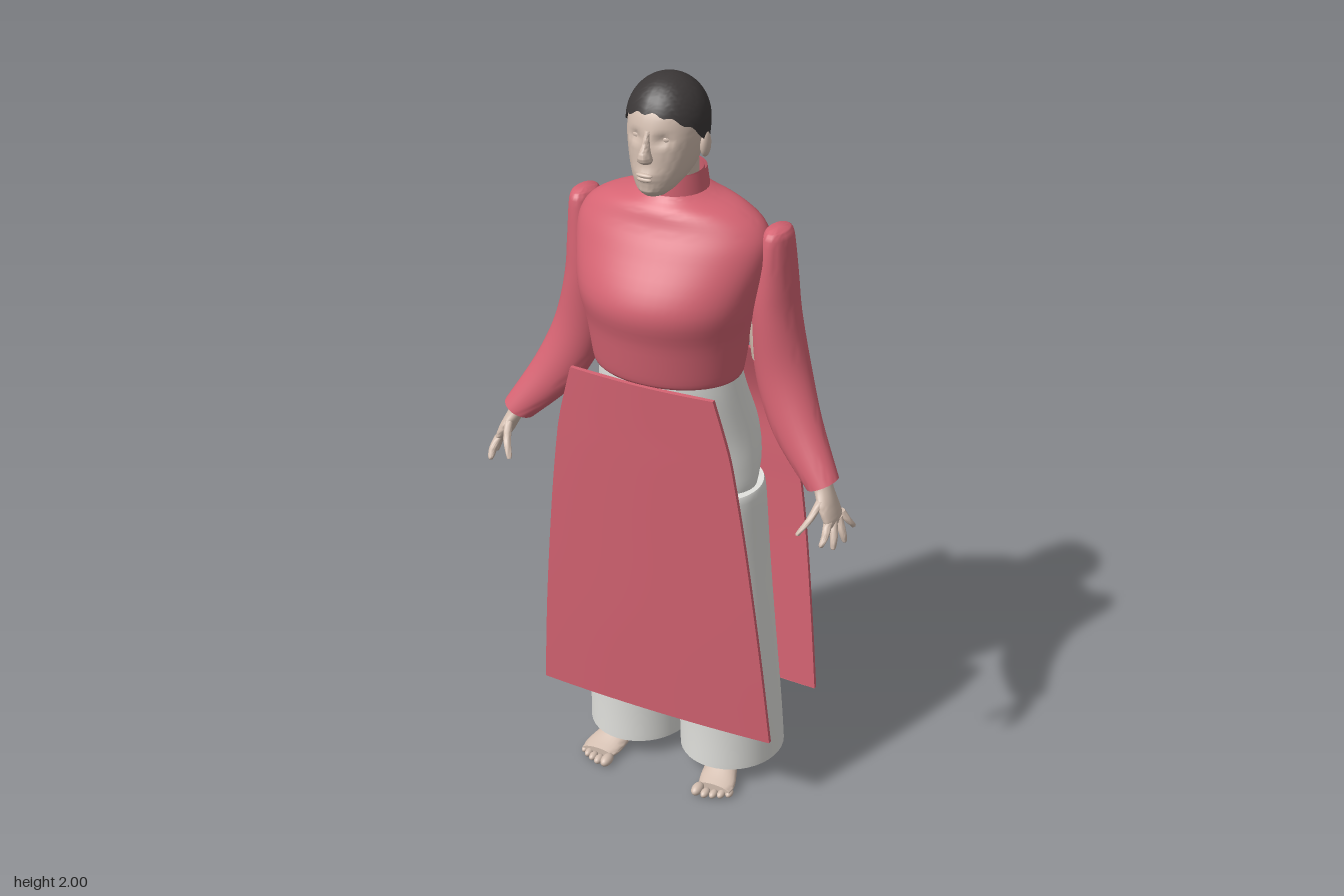
import * as THREE from 'three';
import { toCreasedNormals } from 'three/addons/utils/BufferGeometryUtils.js';

const mat = (name, color, side = THREE.DoubleSide) => {
  const m = new THREE.MeshStandardMaterial({ color, side });
  m.name = name;
  return m;
};

// Smooth in-between rows through a few key rows of numbers
function smoothRows(rows, steps) {
  const at = i => rows[Math.min(Math.max(i, 0), rows.length - 1)];
  const out = [];
  for (let i = 0; i < rows.length - 1; i++) {
    for (let k = 0; k < steps; k++) {
      const t = k / steps;
      out.push(rows[i].map((b, d) => {
        const a = at(i - 1)[d], c = at(i + 1)[d], e = at(i + 2)[d];
        const m0 = (c - a) / 2, m1 = (e - b) / 2;
        return b + m0 * t + (3 * (c - b) - 2 * m0 - m1) * t * t + (2 * (b - c) + m0 + m1) * t * t * t;
      }));
    }
  }
  out.push(rows[rows.length - 1]);
  return out;
}

// Skin a stack of closed loops (bottom to top), with optional end caps
function skinLoops(loops, capBottom, capTop, crease = 0.9) {
  const n = loops[0].length, pos = loops.flat(2), idx = [];
  for (let i = 0; i < loops.length - 1; i++) {
    for (let j = 0; j < n; j++) {
      const a = i * n + j, b = i * n + (j + 1) % n;
      idx.push(a, b, b + n, a, b + n, a + n);
    }
  }
  const cap = (row, top) => {
    const c = pos.length / 3;
    for (let d = 0; d < 3; d++) pos.push(loops[row].reduce((s, p) => s + p[d], 0) / n);
    for (let j = 0; j < n; j++) {
      const a = row * n + j, b = row * n + (j + 1) % n;
      idx.push(...(top ? [a, b, c] : [b, a, c]));
    }
  };
  if (capBottom) cap(0, false);
  if (capTop) cap(loops.length - 1, true);
  const g = new THREE.BufferGeometry();
  g.setAttribute('position', new THREE.Float32BufferAttribute(pos, 3));
  g.setIndex(idx);
  return toCreasedNormals(g, crease);
}

// Stack of ellipses; row = [y, centreX, centreZ, radiusX, radiusZ, tilt]
function loft(rows, { s = 1, seg = 32, steps = 5, bottom = true, top = true, warp = null } = {}) {
  let r = smoothRows(rows.map(q => [q[0], q[1] * s, q[2], q[3], q[4], (q[5] || 0) * s]), steps);
  if (r[0][0] > r[r.length - 1][0]) r = r.reverse();
  const loops = r.map(([y, cx, cz, rx, rz, tilt]) => Array.from({ length: seg }, (_, j) => {
    const a = j / seg * Math.PI * 2, dx = rx * Math.sin(a);
    const p = [cx + dx, y + tilt * dx, cz + rz * Math.cos(a)];
    return warp ? warp(p) : p;
  }));
  return skinLoops(loops, bottom, top);
}

// Hanging cloth panel; row = [y, halfWidth, z], bowed outwards at the middle
function panel(rows, dir) {
  const n = 16, bow = 0.012, thick = 0.011;
  const loops = smoothRows(rows, 5).reverse().map(([y, w, z]) => {
    const side = off => Array.from({ length: n + 1 }, (_, i) => {
      const u = i / n * 2 - 1;
      return [u * w, y, z + dir * bow * (1 - u * u) + off];
    });
    return [...side(thick / 2), ...side(-thick / 2).reverse()];
  });
  return skinLoops(loops, true, true, 0.6);
}

// Hair cap whose lower edge follows the hairline around the head
function hairCap() {
  const seg = 64, rows = 24, loops = [];
  for (let i = 0; i <= rows; i++) {
    loops.push(Array.from({ length: seg }, (_, j) => {
      const a = j / seg * Math.PI * 2, c = Math.cos(a);
      let low = c > 0 ? 1.835 + 0.095 * Math.pow(c, 0.7) : 1.835 + 0.065 * c;
      if (c > 0) low += 0.004 * Math.sin(a * 13);
      const t = Math.sin(i / rows * Math.PI / 2), y = low + (1.9995 - low) * t;
      const f = Math.sqrt(Math.max(0, 1 - ((y - 1.89) / (y > 1.89 ? 0.11 : 0.2)) ** 2));
      return [0.101 * f * Math.sin(a), y, 0.033 + 0.108 * f * c];
    }));
  }
  return skinLoops(loops, false, true);
}

export function createModel() {
  const model = new THREE.Group();
  model.name = 'womanInLongTunic';
  const red = mat('red cloth', 0xd66473), white = mat('white cloth', 0xe2e2de);
  const skin = mat('skin', 0xd2bdaf), hair = mat('dark hair', 0x3b3737);
  const add = (name, geo, material) => {
    const m = new THREE.Mesh(geo, material);
    m.name = name;
    model.add(m);
    return m;
  };
  const ball = (name, material, r, x, y, z, sx = 1, sy = 1, sz = 1) =>
    add(name, new THREE.SphereGeometry(r, 24, 16).scale(sx, sy, sz).translate(x, y, z), material);

  // Head with shallow eye sockets
  const gauss = (dx, dy, wx, wy) => Math.exp(-((dx / wx) ** 2) - (dy / wy) ** 2);
  add('head', loft([
    [1.722, 0, 0.1, 0.028, 0.034], [1.742, 0, 0.088, 0.05, 0.062], [1.78, 0, 0.058, 0.074, 0.094],
    [1.83, 0, 0.045, 0.088, 0.104], [1.88, 0, 0.04, 0.093, 0.104], [1.93, 0, 0.035, 0.087, 0.093],
    [1.97, 0, 0.03, 0.058, 0.063], [1.99, 0, 0.03, 0.025, 0.025],
  ], {
    seg: 64, steps: 6, warp: ([x, y, z]) => z < 0.08 ? [x, y, z] : [x, y, z
      - 0.013 * gauss(Math.abs(x) - 0.036, y - 1.868, 0.018, 0.013)
      + 0.010 * gauss(x, y - 1.776, 0.03, 0.016) + 0.006 * gauss(x, y - 1.738, 0.025, 0.014)],
  }), skin);
  add('nose', loft([[1.812, 0, 0.148, 0.014, 0.014], [1.822, 0, 0.153, 0.019, 0.022],
    [1.838, 0, 0.153, 0.014, 0.022], [1.86, 0, 0.145, 0.009, 0.017], [1.89, 0, 0.136, 0.008, 0.01]], { seg: 16 }), skin);
  ball('upperLip', skin, 0.02, 0, 1.783, 0.158, 1.1, 0.3, 0.4);
  ball('lowerLip', skin, 0.018, 0, 1.772, 0.157, 1.1, 0.35, 0.4);
  add('neck', loft([[1.66, 0, -0.01, 0.064, 0.066], [1.72, 0, 0, 0.06, 0.064], [1.79, 0, 0.005, 0.06, 0.062]]), skin);
  add('hair', hairCap(), hair);
  ball('hairBun', hair, 0.045, 0, 1.855, -0.086);

  // Bodice and stand collar
  add('bodice', loft([
    [1.232, 0, 0.034, 0.193, 0.145], [1.25, 0, 0.034, 0.2, 0.154], [1.35, 0, 0.033, 0.215, 0.173],
    [1.45, 0, 0.037, 0.236, 0.187], [1.57, 0, 0.009, 0.258, 0.152], [1.63, 0, -0.003, 0.24, 0.128],
    [1.668, 0, -0.004, 0.185, 0.113], [1.69, 0, -0.007, 0.11, 0.096], [1.702, 0, -0.007, 0.08, 0.087],
  ], { seg: 56, bottom: false, top: false }), red);
  for (const [name, inset] of [['collarOuter', 0], ['collarInner', 0.007]]) {
    add(name, loft([[1.685, 0, -0.007, 0.084 - inset, 0.088 - inset],
      [1.75, 0, -0.006, 0.074 - inset, 0.082 - inset]], { steps: 1, bottom: false, top: false }), red);
  }

  // Long front and back panels, open at the sides
  add('frontPanel', panel([[1.237, 0.2, 0.179], [1.1, 0.237, 0.17], [1, 0.255, 0.164],
    [0.8, 0.282, 0.151], [0.5, 0.315, 0.131], [0.22, 0.34, 0.11]], 1), red);
  add('backPanel', panel([[1.24, 0.2, -0.117], [1.07, 0.242, -0.181], [0.9, 0.268, -0.186],
    [0.7, 0.295, -0.184], [0.45, 0.32, -0.179], [0.22, 0.34, -0.174]], -1), red);

  // Trousers
  add('trouserSeat', loft([[0.84, 0, -0.01, 0.2, 0.1], [0.9, 0, -0.01, 0.222, 0.122], [0.97, 0, -0.022, 0.226, 0.148],
    [1.06, 0, -0.02, 0.216, 0.16], [1.18, 0, 0.014, 0.197, 0.147], [1.26, 0, 0.028, 0.185, 0.137]], { seg: 40 }), white);

  for (const s of [1, -1]) {
    const side = s > 0 ? 'left' : 'right';
    add(side + 'TrouserLeg', loft([[0.052, 0.14, -0.073, 0.14, 0.151], [0.2, 0.138, -0.061, 0.138, 0.143],
      [0.5, 0.131, -0.034, 0.131, 0.135], [0.7, 0.125, -0.022, 0.125, 0.134],
      [0.885, 0.12, -0.01, 0.122, 0.131], [0.905, 0.118, -0.01, 0.112, 0.122]],
    { s, seg: 40, bottom: false }), white);

    // Sleeve, with the bare upper arm showing behind the armpit
    add(side + 'Sleeve', loft([[1.634, 0.268, -0.025, 0.02, 0.038], [1.612, 0.268, -0.027, 0.034, 0.056],
      [1.5, 0.263, -0.033, 0.05, 0.07], [1.4, 0.264, -0.035, 0.06, 0.074], [1.25, 0.288, -0.03, 0.07, 0.068, 0.2],
      [1.12, 0.344, 0, 0.062, 0.057, 0.4], [1, 0.437, 0.043, 0.039, 0.042, 0.5]], { s, bottom: false }), red);
    add(side + 'UpperArm', loft([[1.59, 0.245, -0.04, 0.035, 0.055], [1.5, 0.238, -0.045, 0.045, 0.064],
      [1.4, 0.236, -0.046, 0.05, 0.067], [1.28, 0.255, -0.035, 0.05, 0.058]], { s }), skin);

    // Hand: palm, four fingers and thumb
    add(side + 'Palm', loft([[1.05, 0.415, 0.035, 0.03, 0.03], [1, 0.438, 0.046, 0.024, 0.03],
      [0.96, 0.458, 0.058, 0.02, 0.042], [0.925, 0.474, 0.06, 0.016, 0.045], [0.908, 0.48, 0.06, 0.01, 0.038]], { s, seg: 20 }), skin);
    const digits = [
      ['Index', 0.476, 0.925, 0.092, 0.478, 0.873, 0.132], ['Middle', 0.48, 0.92, 0.07, 0.496, 0.855, 0.1],
      ['Ring', 0.482, 0.92, 0.045, 0.506, 0.855, 0.055], ['Little', 0.48, 0.925, 0.024, 0.508, 0.875, 0.008],
      ['Thumb', 0.45, 0.975, 0.08, 0.418, 0.895, 0.138],
    ];
    for (const [name, x0, y0, z0, x1, y1, z1] of digits) {
      const mx = (x0 + x1) / 2 + 0.004, my = (y0 + y1) / 2, mz = (z0 + z1) / 2 + 0.004;
      add(side + name, loft([[y0, x0, z0, 0.011, 0.012], [my, mx, mz, 0.01, 0.011],
        [y1 + 0.006, x1, z1, 0.007, 0.008], [y1, x1, z1, 0.003, 0.003]], { s, seg: 12, steps: 3 }), skin);
    }

    // Bare foot laid along z, toes and shin
    add(side + 'Foot', loft([[-0.13, 0.138, -0.034, 0.018, 0.018], [-0.112, 0.139, -0.042, 0.036, 0.04],
      [-0.05, 0.146, -0.05, 0.038, 0.048], [0.02, 0.16, -0.039, 0.043, 0.035],
      [0.085, 0.175, -0.023, 0.052, 0.021], [0.118, 0.18, -0.017, 0.046, 0.014]], { s, seg: 24 }).rotateX(Math.PI / 2), skin);
    for (let i = 0; i < 5; i++) {
      const r = [0.016, 0.012, 0.011, 0.011, 0.01][i], x = [0.14, 0.164, 0.185, 0.204, 0.222][i];
      ball(side + 'Toe' + (i + 1), skin, r, s * x, r, [0.136, 0.138, 0.131, 0.121, 0.108][i], 0.95, 0.95, 1.6);
    }
    add(side + 'Shin', loft([[0.05, 0.14, -0.075, 0.034, 0.042], [0.15, 0.138, -0.07, 0.036, 0.04],
      [0.4, 0.13, -0.05, 0.05, 0.055]], { s, seg: 20 }), skin);
    ball(side + 'Ear', skin, 0.03, s * 0.095, 1.835, 0.025, 0.4, 1.1, 0.65);
    ball(side + 'Eye', skin, 0.013, s * 0.036, 1.868, 0.117, 1.2, 0.75, 0.8);
  }
  return model;
}
